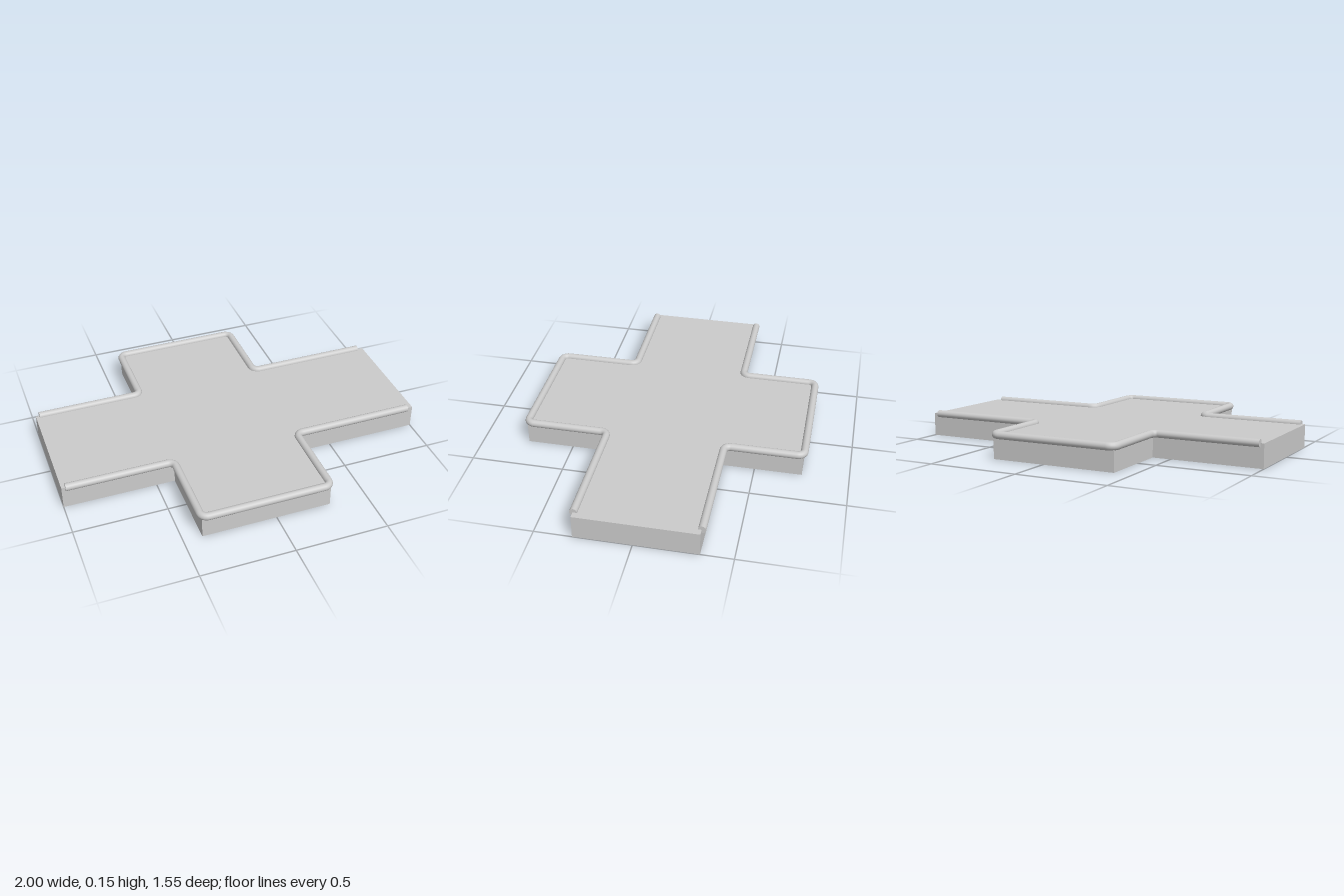
import * as THREE from 'three';

const HEIGHT = 0.127;       // slab thickness, also the rail centre height
const RAIL = 0.0205;        // rail radius
const BEND = 0.036;         // rail corner radius
const X0 = -0.4, X1 = 0.295; // sides of the front-back arm

// Flat path with rounded corners through [x, z] points
function roundedPath(points) {
  const p = points.map(([x, z]) => new THREE.Vector3(x, HEIGHT, z));
  const path = new THREE.CurvePath();
  let from = p[0];
  for (let i = 1; i < p.length - 1; i++) {
    const toward = (q) => q.clone().sub(p[i]).setLength(BEND).add(p[i]);
    const a = toward(p[i - 1]), b = toward(p[i + 1]);
    path.add(new THREE.LineCurve3(from, a));
    // cubic close to a quarter circle
    path.add(new THREE.CubicBezierCurve3(a, a.clone().lerp(p[i], 0.552), b.clone().lerp(p[i], 0.552), b));
    from = b;
  }
  path.add(new THREE.LineCurve3(from, p[p.length - 1]));
  return path;
}

export function createModel() {
  const model = new THREE.Group();
  const material = new THREE.MeshStandardMaterial({ color: 0xcccccc });
  const add = (name, geometry, parent = model) => {
    const mesh = new THREE.Mesh(geometry, material);
    mesh.name = name;
    parent.add(mesh);
    return mesh;
  };

  // Cross-shaped slab, outline given as [x, z]
  const outline = [
    [-1, 0.303], [X0, 0.303], [X0, 0.75], [X1, 0.75], [X1, 0.303], [1, 0.303],
    [1, -0.333], [X1, -0.333], [X1, -0.752], [X0, -0.752], [X0, -0.333], [-1, -0.333],
  ];
  const shape = new THREE.Shape(outline.map(([x, z]) => new THREE.Vector2(x, -z)));
  const slab = new THREE.ExtrudeGeometry(shape, { depth: HEIGHT, bevelEnabled: false });
  add('crossSlab', slab.rotateX(-Math.PI / 2));

  // Round edge rails along the front and back, with flat end caps
  for (const [name, zArm, zEnd] of [['frontRail', 0.3, 0.75], ['backRail', -0.335, -0.755]]) {
    const rail = new THREE.Group();
    rail.name = name;
    model.add(rail);
    const path = roundedPath([[-0.98, zArm], [X0, zArm], [X0, zEnd], [X1, zEnd], [X1, zArm], [0.965, zArm]]);
    add(name + 'Tube', new THREE.TubeGeometry(path, 260, RAIL, 16, false), rail);
    for (const [x, side] of [[-0.98, -1], [0.965, 1]]) {
      const cap = add(name + 'Cap', new THREE.CircleGeometry(RAIL, 16), rail);
      cap.position.set(x, HEIGHT, zArm);
      cap.rotation.y = side * Math.PI / 2;
    }
  }
  return model;
}
